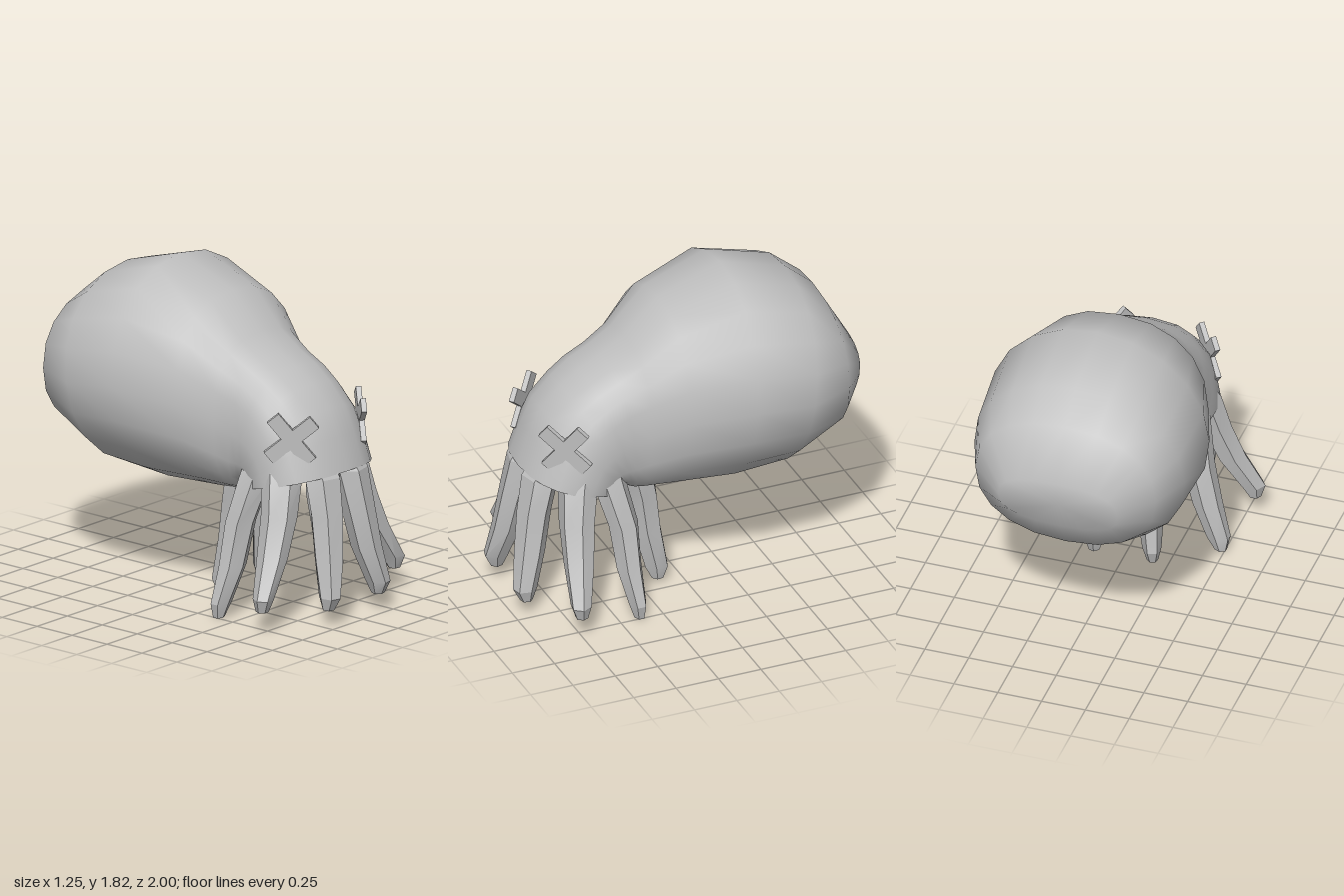
import * as THREE from 'three';
import { toCreasedNormals } from 'three/addons/utils/BufferGeometryUtils.js';

const skin = new THREE.MeshStandardMaterial({ color: 0xbfbfbf });
skin.name = 'greySkin';

// Skins a list of closed rings and caps both ends.
function loft(rings) {
  const n = rings[0].length, pos = [], idx = [];
  rings.forEach(r => r.forEach(p => pos.push(p.x, p.y, p.z)));
  for (let i = 0; i < rings.length - 1; i++) {
    for (let j = 0; j < n; j++) {
      const a = i * n + j, b = i * n + (j + 1) % n;
      idx.push(a, a + n, b, b, a + n, b + n);
    }
  }
  [0, rings.length - 1].forEach(i => {
    const c = new THREE.Vector3();
    rings[i].forEach(p => c.addScaledVector(p, 1 / n));
    const k = pos.length / 3;
    pos.push(c.x, c.y, c.z);
    for (let j = 0; j < n; j++) {
      const a = i * n + j, b = i * n + (j + 1) % n;
      if (i === 0) idx.push(k, a, b); else idx.push(k, b, a);
    }
  });
  const g = new THREE.BufferGeometry();
  g.setAttribute('position', new THREE.Float32BufferAttribute(pos, 3));
  g.setIndex(idx);
  return g;
}

// Mantle and head: rings fan from the rear sac round to the underside of the head.
// Each row: top z, top y, bottom z, bottom y, half width, squareness
function bodyGeometry() {
  const rows = [
    [-1.00, 1.28, -0.95, 0.97, 0.34, 2.6],
    [-0.845, 1.555, -0.84, 0.79, 0.515, 2.25],
    [-0.68, 1.70, -0.53, 0.615, 0.60, 2.1],
    [-0.30, 1.815, -0.22, 0.585, 0.625, 2.05],
    [0.07, 1.68, 0.12, 0.605, 0.50, 2.3],
    [0.27, 1.485, 0.26, 0.61, 0.39, 2.6],
    [0.41, 1.395, 0.30, 0.62, 0.355, 2.8],
    [0.53, 1.335, 0.32, 0.635, 0.36, 2.7],
    [0.64, 1.26, 0.33, 0.65, 0.365, 2.5],
    [0.76, 1.145, 0.335, 0.66, 0.37, 2.35],
    [0.83, 1.00, 0.34, 0.67, 0.375, 2.3],
    [0.895, 0.82, 0.34, 0.68, 0.375, 2.3],
  ];
  const n = 20;
  const bend = (v, e) => Math.sign(v) * Math.pow(Math.abs(v), 2 / e);
  const rings = rows.map(([tz, ty, bz, by, w, e]) => Array.from({ length: n }, (_, j) => {
    const t = j / n * Math.PI * 2;
    const c = bend(Math.cos(t), e), s = bend(Math.sin(t), e);
    return new THREE.Vector3(w * s, (ty + by) / 2 + c * (ty - by) / 2, (tz + bz) / 2 + c * (tz - bz) / 2);
  }));
  const g = loft(rings);
  g.computeVertexNormals();
  return toCreasedNormals(g, 0.75);
}

// Six-sided arm along a path; "angle" is the heading it faces, measured from +z.
function armGeometry(side, path, angle, breadth) {
  const radial = [0.085, 0.1, 0.092, 0.085, 0.07, 0.035];
  const lateral = [0.095, 0.112, 0.1, 0.085, 0.058, 0.035];
  const u = new THREE.Vector3(side * Math.sin(angle), 0, Math.cos(angle));
  const v = new THREE.Vector3(u.z, 0, -u.x);
  const rings = path.map(([x, y, z], i) => Array.from({ length: 6 }, (_, j) => {
    const t = (j + 0.5) / 6 * Math.PI * 2;
    return new THREE.Vector3(side * x, y, z)
      .addScaledVector(u, Math.cos(t) * radial[i])
      .addScaledVector(v, Math.sin(t) * lateral[i] * breadth);
  }));
  return toCreasedNormals(loft(rings), 0.3);
}

export function createModel() {
  const model = new THREE.Group();
  model.name = 'octopus';
  const add = (parent, name, geometry) => {
    const m = new THREE.Mesh(geometry, skin);
    m.name = name;
    parent.add(m);
    return m;
  };

  add(model, 'body', bodyGeometry());

  // Four arms on each side (heading, breadth, path); the first point is buried in the head
  const arms = [
    ['frontArm', 0.25, 1, [[0.10, 0.95, 0.72], [0.11, 0.8, 0.805], [0.125, 0.6, 0.85], [0.155, 0.36, 0.89], [0.20, 0.16, 0.935], [0.205, 0.09, 0.93]]],
    ['frontSideArm', 0.95, 1, [[0.23, 0.95, 0.61], [0.28, 0.8, 0.66], [0.335, 0.6, 0.69], [0.42, 0.39, 0.715], [0.535, 0.19, 0.75], [0.545, 0.12, 0.75]]],
    ['rearSideArm', 1.57, 0.85, [[0.22, 0.95, 0.49], [0.28, 0.77, 0.475], [0.335, 0.52, 0.415], [0.39, 0.28, 0.405], [0.46, 0.08, 0.385], [0.475, 0.0, 0.38]]],
    ['rearArm', 2.8, 0.9, [[0.12, 0.85, 0.30], [0.12, 0.7, 0.25], [0.12, 0.55, 0.215], [0.135, 0.33, 0.19], [0.16, 0.1, 0.145], [0.165, 0.025, 0.14]]],
  ];
  for (const [side, label] of [[1, 'left'], [-1, 'right']]) {
    for (const [name, angle, breadth, path] of arms) {
      add(model, `${label} ${name}`, armGeometry(side, path, angle, breadth));
    }

    // Crossed-bar eye
    const eye = new THREE.Group();
    eye.name = `${label} eye`;
    eye.position.set(side * 0.285, 1.03, 0.735);
    eye.rotation.y = side * 0.86;
    for (const tilt of [-0.68, 0.89]) {
      add(eye, 'eyeBar', new THREE.BoxGeometry(0.32, 0.08, 0.03)).rotation.z = side * tilt;
    }
    model.add(eye);
  }
  return model;
}
